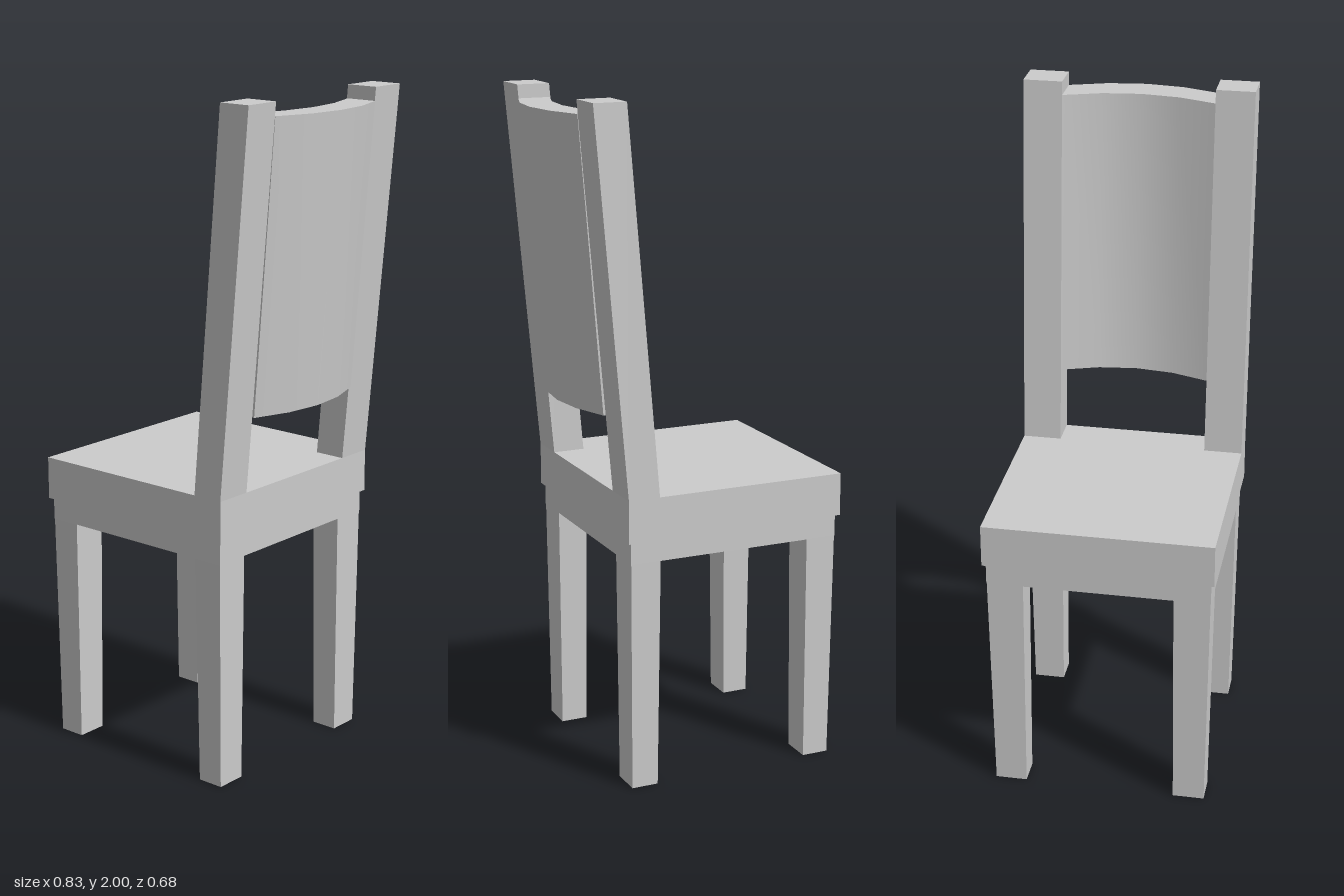
import * as THREE from 'three';
import { toCreasedNormals } from 'three/addons/utils/BufferGeometryUtils.js';

const material = new THREE.MeshStandardMaterial({ color: 0xcccccc });

// Box between y0 and y1 whose bottom and top rectangles [x0, x1, z0, z1] may differ
function block(name, y0, y1, bottom, top = bottom) {
  const geometry = new THREE.BoxGeometry(1, 1, 1);
  const p = geometry.attributes.position;
  for (let i = 0; i < p.count; i++) {
    const upper = p.getY(i) > 0;
    const r = upper ? top : bottom;
    p.setXYZ(i, p.getX(i) < 0 ? r[0] : r[1], upper ? y1 : y0, p.getZ(i) < 0 ? r[2] : r[3]);
  }
  const mesh = new THREE.Mesh(toCreasedNormals(geometry, 0.3), material);
  mesh.name = name;
  return mesh;
}

// Swaps a rectangle to the opposite side in z
const mirror = ([x0, x1, z0, z1]) => [x0, x1, -z1, -z0];

// Curved panel: bowed outline extruded upwards, then leaned backwards
function backrest() {
  const y0 = 1.11, y1 = 1.96, thickness = 0.098;
  const bow = [[0.194, -0.225], [0.232, -0.113], [0.245, 0], [0.232, 0.113], [0.194, 0.225]];
  const outline = [
    ...bow.map(([x, z]) => new THREE.Vector2(x + thickness, z)),
    ...bow.map(([x, z]) => new THREE.Vector2(x, z)).reverse(),
  ];
  const geometry = new THREE.ExtrudeGeometry(new THREE.Shape(outline), { depth: y1 - y0, bevelEnabled: false });
  geometry.rotateX(-Math.PI / 2);
  const p = geometry.attributes.position;
  for (let i = 0; i < p.count; i++) {
    const h = p.getY(i);
    p.setXYZ(i, p.getX(i) + 0.082 * h, y0 + h, p.getZ(i));
  }
  const mesh = new THREE.Mesh(toCreasedNormals(geometry, 0.6), material);
  mesh.name = 'backrest';
  return mesh;
}

export function createModel() {
  const chair = new THREE.Group();
  chair.name = 'chair';

  // Seat slab and the slightly smaller frame beneath it
  chair.add(block('seat', 0.757, 0.885, [-0.415, 0.265, -0.34, 0.34]));
  chair.add(block('seatFrame', 0.692, 0.757, [-0.404, 0.255, -0.33, 0.33]));

  // Tapered legs and leaning back posts, mirrored in z
  const parts = [
    ['frontLeg', 0, 0.692, [-0.398, -0.317, 0.226, 0.32], [-0.403, -0.311, 0.221, 0.329]],
    ['backLeg', 0, 0.692, [0.168, 0.249, 0.226, 0.32], [0.162, 0.254, 0.221, 0.329]],
    ['backPost', 0.885, 2, [0.169, 0.265, 0.225, 0.34], [0.265, 0.364, 0.225, 0.34]],
  ];
  for (const [name, y0, y1, bottom, top] of parts) {
    chair.add(block(name + 'A', y0, y1, bottom, top));
    chair.add(block(name + 'B', y0, y1, mirror(bottom), mirror(top)));
  }

  chair.add(backrest());
  return chair;
}
